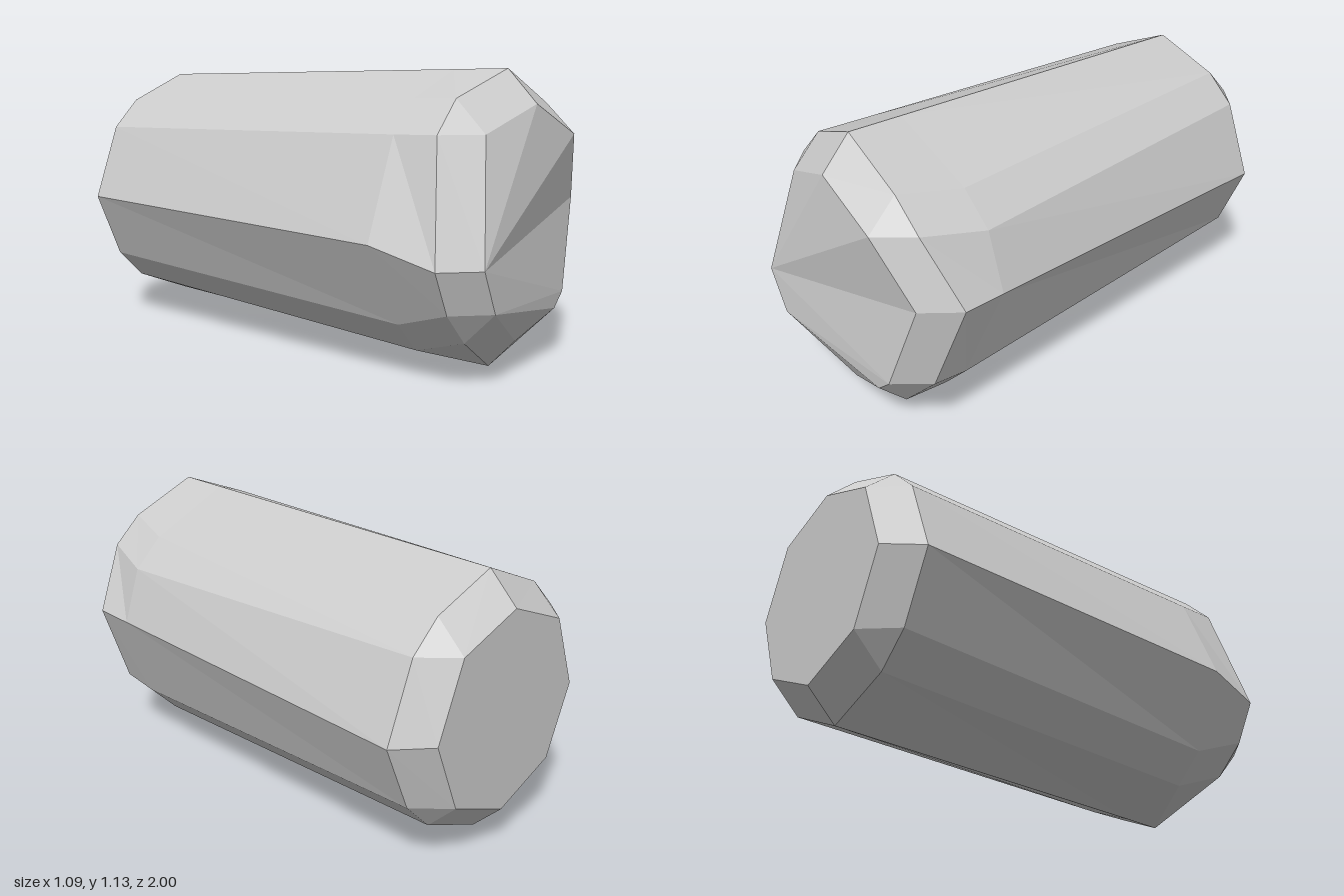
import * as THREE from 'three';

// Mirrored back section: the given half runs from top to bottom on +x
function mirrored(half, z) {
  const right = half.map(([x, y]) => [x, y, z]);
  const left = half.slice(1, -1).reverse().map(([x, y]) => [-x, y, z]);
  return [...right, ...left];
}

// Cross-sections of 12 corners, clockwise from the top as seen from the front
const backCap = mirrored([[0, 0.965], [0.275, 0.86], [0.275, 0.86], [0.39, 0.57],
  [0.275, 0.29], [0.275, 0.29], [0, 0.175]], -1);
const backRim = mirrored([[0, 1.085], [0.275, 0.975], [0.395, 0.86], [0.51, 0.56],
  [0.395, 0.29], [0.275, 0.17], [0, 0.055]], -0.88);

// Uneven swell just behind the front rim
const swell = [
  [0, 1.128, 0.62], [0.34, 0.96, 0.62], [0.46, 0.84, 0.62], [0.533, 0.615, 0.62],
  [0.385, 0.23, 0.68], [0.265, 0.11, 0.68], [0, 0.007, 0.62], [-0.275, 0.1, 0.65],
  [-0.395, 0.225, 0.65], [-0.545, 0.535, 0.62], [-0.395, 0.908, 0.62], [-0.275, 1.028, 0.62],
];
const frontRim = [
  [0, 1.135, 0.85], [0.275, 1.0, 0.87], [0.395, 0.885, 0.87], [0.54, 0.625, 0.8],
  [0.4, 0.265, 0.84], [0.22, 0.09, 0.84], [0, 0, 0.8], [-0.32, 0.18, 0.88],
  [-0.44, 0.305, 0.88], [-0.52, 0.47, 0.88], [-0.395, 0.915, 0.8], [-0.275, 1.035, 0.8],
];
const frontCap = [
  [0, 1.01, 0.97], [0.275, 0.885, 0.99], [0.275, 0.885, 0.99], [0.42, 0.62, 0.92],
  [0.285, 0.265, 0.96], [0.22, 0.21, 0.96], [0, 0.12, 0.91], [-0.32, 0.305, 1],
  [-0.32, 0.305, 1], [-0.4, 0.47, 1], [-0.275, 0.915, 0.92], [-0.275, 0.915, 0.92],
];

const same = (a, b) => a.every((v, i) => v === b[i]);

function meshFrom(name, triangles, material) {
  const solid = triangles.filter(([a, b, c]) => !same(a, b) && !same(b, c) && !same(a, c));
  const geometry = new THREE.BufferGeometry();
  geometry.setAttribute('position', new THREE.Float32BufferAttribute(solid.flat(2), 3));
  geometry.computeVertexNormals();
  const mesh = new THREE.Mesh(geometry, material);
  mesh.name = name;
  return mesh;
}

// Band of faces joining a section to the one in front of it
function band(back, front) {
  return back.flatMap((a, i) => {
    const j = (i + 1) % back.length;
    return [[a, front[i], back[j]], [back[j], front[i], front[j]]];
  });
}

export function createModel() {
  const group = new THREE.Group();
  group.name = 'facetedLog';
  const material = new THREE.MeshStandardMaterial({ color: 0xcccccc, flatShading: true });

  // Long sides
  group.add(meshFrom('body', [...band(backRim, swell), ...band(swell, frontRim)], material));

  // Chamfers around both ends
  group.add(meshFrom('backChamfer', band(backCap, backRim), material));
  group.add(meshFrom('frontChamfer', band(frontRim, frontCap), material));

  // Flat back end
  const backFan = backCap.slice(1, -1).map((p, i) => [backCap[0], p, backCap[i + 2]]);
  group.add(meshFrom('backEnd', backFan, material));

  // Faceted front end, fanned from its two foremost corners
  const fan = [[9, 10, 0], [9, 0, 1], [9, 1, 3], [9, 3, 4], [9, 4, 8], [8, 4, 5], [8, 5, 6]];
  const frontFan = fan.map(([a, b, c]) => [frontCap[a], frontCap[c], frontCap[b]]);
  group.add(meshFrom('frontEnd', frontFan, material));

  return group;
}
